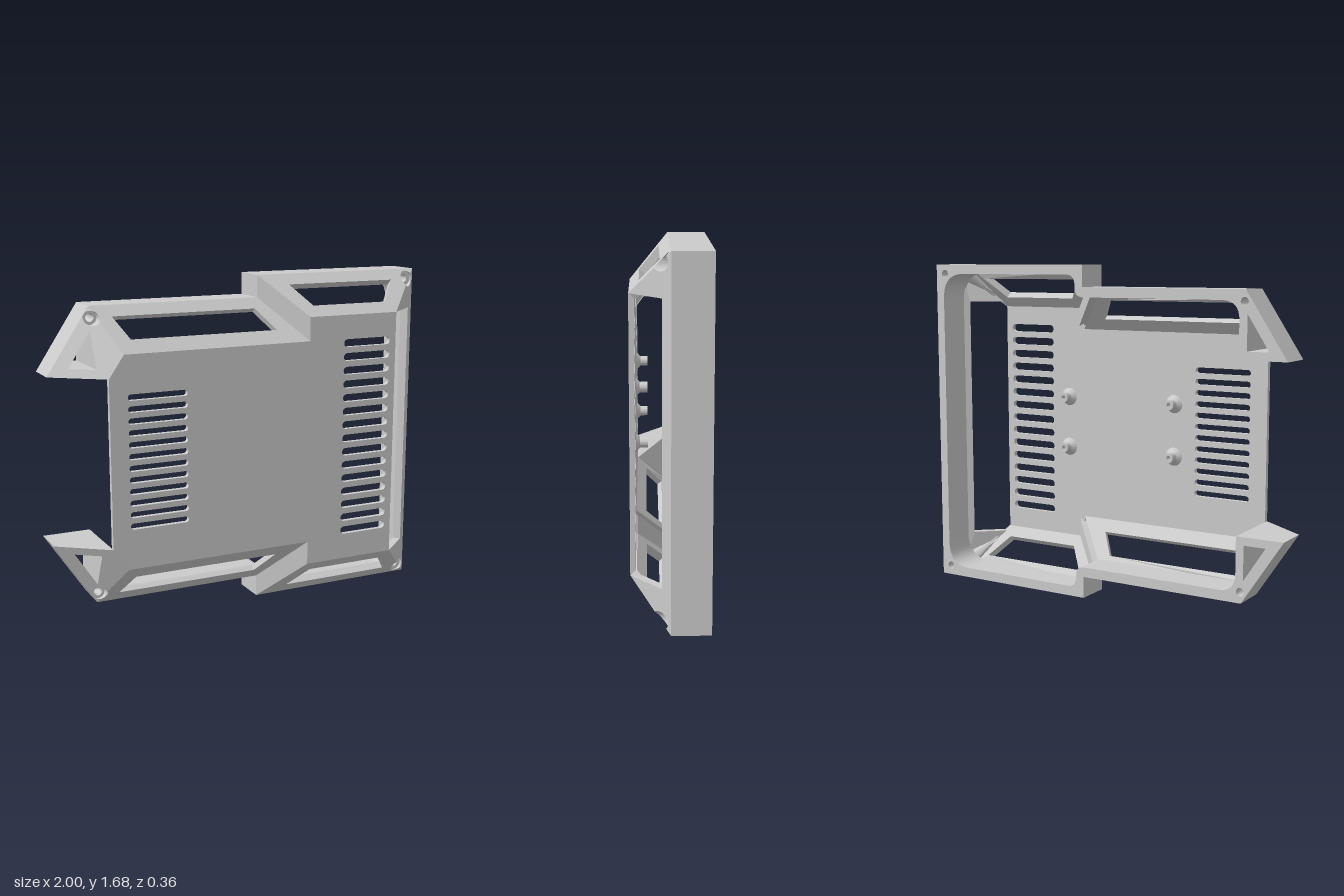
import * as THREE from 'three';

const H = 1.68, FRONT = 0.18, BACK = -0.18;
const mat = new THREE.MeshStandardMaterial({ color: 0xcccccc });
// screw positions in the upper half: x, y, recess radius
const BOSSES = [[0.945, 1.63, 0.04], [-0.785, 1.515, 0.034]];
const WING_HOLE = [[-0.91, 1.29], [-0.8, 1.29], [-0.8, 1.46]];

const flipY = pts => pts.map(([x, y, r]) => [x, H - y, r]);
const poly = (pts, Type = THREE.Shape) => new Type(pts.map(p => new THREE.Vector2(p[0], p[1])));

function add(group, name, geo) {
  const mesh = new THREE.Mesh(geo, mat);
  mesh.name = name;
  group.add(mesh);
}

function circleHole(x, y, r) {
  const p = new THREE.Path();
  p.absarc(x, y, r, 0, Math.PI * 2);
  return p;
}

// polygon whose corners carry an optional rounding length
function roundedPoly(pts) {
  const s = new THREE.Shape(), n = pts.length;
  pts.forEach(([x, y, r = 0], i) => {
    const p = new THREE.Vector2(x, y);
    const toward = q => new THREE.Vector2(q[0], q[1]).sub(p).setLength(r).add(p);
    const a = r ? toward(pts[(i + n - 1) % n]) : p;
    if (i) s.lineTo(a.x, a.y); else s.moveTo(a.x, a.y);
    if (r) {
      const b = toward(pts[(i + 1) % n]);
      s.quadraticCurveTo(x, y, b.x, b.y);
    }
  });
  s.closePath();
  return s;
}

// round bite out of the edge a-b of a counterclockwise polygon
function bite(a, b, [cx, cy, r]) {
  const A = new THREE.Vector2(...a), d = new THREE.Vector2(...b).sub(A).normalize();
  const C = new THREE.Vector2(cx, cy);
  const foot = A.clone().addScaledVector(d, C.clone().sub(A).dot(d));
  const half = Math.sqrt(r * r - foot.distanceToSquared(C));
  const angle = s => { const p = foot.clone().addScaledVector(d, s * half).sub(C); return Math.atan2(p.y, p.x); };
  const a0 = angle(-1);
  let a1 = angle(1);
  if (a1 > a0) a1 -= Math.PI * 2;
  return Array.from({ length: 13 }, (_, i) => {
    const t = a0 + (a1 - a0) * i / 12;
    return [cx + r * Math.cos(t), cy + r * Math.sin(t)];
  });
}

// sloped panel of a given thickness lying on the plane through three points
function slopedPanel(outline, hole, planePts, thickness, solidLeftOf = -9) {
  const shape = poly(outline);
  if (hole) shape.holes.push(poly(hole, THREE.Path));
  const geo = new THREE.ExtrudeGeometry(shape, { depth: 1, bevelEnabled: false });
  const plane = new THREE.Plane().setFromCoplanarPoints(...planePts.map(p => new THREE.Vector3(...p)));
  if (plane.normal.z < 0) plane.negate();
  const n = plane.normal, pos = geo.attributes.position;
  for (let i = 0; i < pos.count; i++) {
    const x = pos.getX(i), y = pos.getY(i);
    const z = -(plane.constant + n.x * x + n.y * y) / n.z;
    const nearBoss = BOSSES.some(b => Math.hypot(x - b[0], y - b[1]) < b[2] + 0.002);
    if (pos.getZ(i) > 0.5) pos.setZ(i, z);
    else if (nearBoss || x < solidLeftOf) pos.setZ(i, -0.002);
    else pos.setXYZ(i, x - n.x * thickness, y - n.y * thickness, z - n.z * thickness);
  }
  geo.computeVertexNormals();
  return geo;
}

// copy mirrored top to bottom, with the corner order reversed
function mirrored(geo) {
  const g = geo.clone(), p = g.attributes.position;
  const v = i => [p.getX(i), H - p.getY(i), p.getZ(i)];
  for (let i = 0; i < p.count; i += 3) {
    const [a, b, c] = [v(i), v(i + 1), v(i + 2)];
    p.setXYZ(i, ...a);
    p.setXYZ(i + 1, ...c);
    p.setXYZ(i + 2, ...b);
  }
  g.computeVertexNormals();
  return g;
}

function slot(x0, x1, y, h) {
  const r = h / 2, p = new THREE.Path();
  p.absarc(x1 - r, y, r, -Math.PI / 2, Math.PI / 2);
  p.absarc(x0 + r, y, r, Math.PI / 2, Math.PI * 1.5);
  p.closePath();
  return p;
}

export function createModel() {
  const model = new THREE.Group();
  model.name = 'deviceCover';

  // back rim, open on one side, with solid wing ends
  const outer = [[1, 0.84], [1, H], [0.085, H], [0.085, 1.57], [-0.79, 1.57], [-1, 1.25]];
  const inner = [[-0.76, 1.25], [-0.76, 1.52, 0.09], [0.13, 1.52, 0.05], [0.13, 1.63, 0.05], [0.955, 1.63, 0.13]];
  const upper = [...outer.slice(1), ...inner];
  const rim = roundedPoly([...upper, ...flipY(upper).reverse()]);
  for (const [x, y] of BOSSES) rim.holes.push(circleHole(x, y, 0.02), circleHole(x, H - y, 0.02));
  rim.holes.push(poly(WING_HOLE, THREE.Path), poly(flipY(WING_HOLE), THREE.Path));
  const rimGeo = new THREE.ExtrudeGeometry(rim, { depth: -BACK, bevelEnabled: false, curveSegments: 12 });
  add(model, 'rim', rimGeo.translate(0, 0, BACK));

  // front plate with two columns of vent slots
  const edge = [[-0.76, 1.25], [-0.685, 1.36], [0.29, 1.36], [0.29, 1.48], [0.79, 1.48]];
  const plate = poly([...edge, ...flipY(edge).reverse()]);
  for (let i = 0; i < 12; i++) plate.holes.push(slot(-0.67, -0.37, 0.533 + i * 0.0568, 0.03));
  for (let i = 0; i < 15; i++) plate.holes.push(slot(0.485, 0.755, 0.353 + i * 0.0703, 0.04));
  const plateGeo = new THREE.ExtrudeGeometry(plate, { depth: 0.025, bevelEnabled: false, curveSegments: 6 });
  add(model, 'frontPlate', plateGeo.translate(0, 0, FRONT - 0.025));

  // sloped panels joining rim and plate, built for the top and mirrored below
  const [bossR, bossL] = BOSSES;
  const R0 = [1, H], R1 = [0.79, 1.48], L0 = [-0.79, 1.57], L1 = [-0.685, 1.36];
  const panels = {
    wideEndPanel: slopedPanel(
      [[0.085, H], [0.29, 1.48], R1, ...bite(R1, R0, bossR), R0],
      [[0.24, 1.63], [0.33, 1.53], [0.75, 1.53], [0.84, 1.63]],
      [[0.085, H, 0], [1, H, 0], [0.79, 1.48, FRONT]], 0.04),
    stepPanel: slopedPanel(
      [[0.085, H], [0.085, 1.57], [0.29, 1.36], [0.29, 1.48]], null,
      [[0.085, H, 0], [0.085, 1.57, 0], [0.29, 1.36, FRONT]], 0.04),
    narrowEndPanel: slopedPanel(
      [L0, ...bite(L0, L1, bossL), L1, [0.29, 1.36], [0.085, 1.57]],
      [[-0.69, 1.52], [-0.63, 1.42], [0.13, 1.42], [0.05, 1.52]],
      [[-0.79, 1.57, 0], [0.085, 1.57, 0], [0.29, 1.36, FRONT]], 0.03),
    wing: slopedPanel(
      [[-1, 1.25], [-0.76, 1.25], L1, ...bite(L1, L0, bossL), L0], WING_HOLE,
      [[-1, 1.25, 0], [-0.79, 1.57, 0], [-0.685, 1.36, FRONT]], 0.04, -0.75),
    openSidePanel: slopedPanel(
      [[1, 0.84], R0, ...bite(R0, R1, bossR), R1, [0.955, 1.48], [0.955, 0.84]], null,
      [[1, 0, 0], [1, H, 0], [0.79, 1.48, FRONT]], 0.04),
  };
  for (const [name, geo] of Object.entries(panels)) {
    add(model, name + 'Top', geo);
    add(model, name + 'Bottom', mirrored(geo));
  }

  // hollow mounting standoffs behind the plate
  const profile = [[0.012, 0.02], [0.012, 0.057], [0.025, 0.057], [0.025, 0.02], [0.047, 0], [0.012, 0]]
    .map(p => new THREE.Vector2(...p)).reverse();
  const standoff = new THREE.LatheGeometry(profile, 20).toNonIndexed();
  standoff.computeVertexNormals();
  standoff.rotateX(-Math.PI / 2);
  for (const x of [-0.25, 0.385]) for (const y of [0.71, 0.98]) {
    add(model, 'standoff', standoff.clone().translate(x, y, FRONT - 0.025));
  }
  return model;
}
